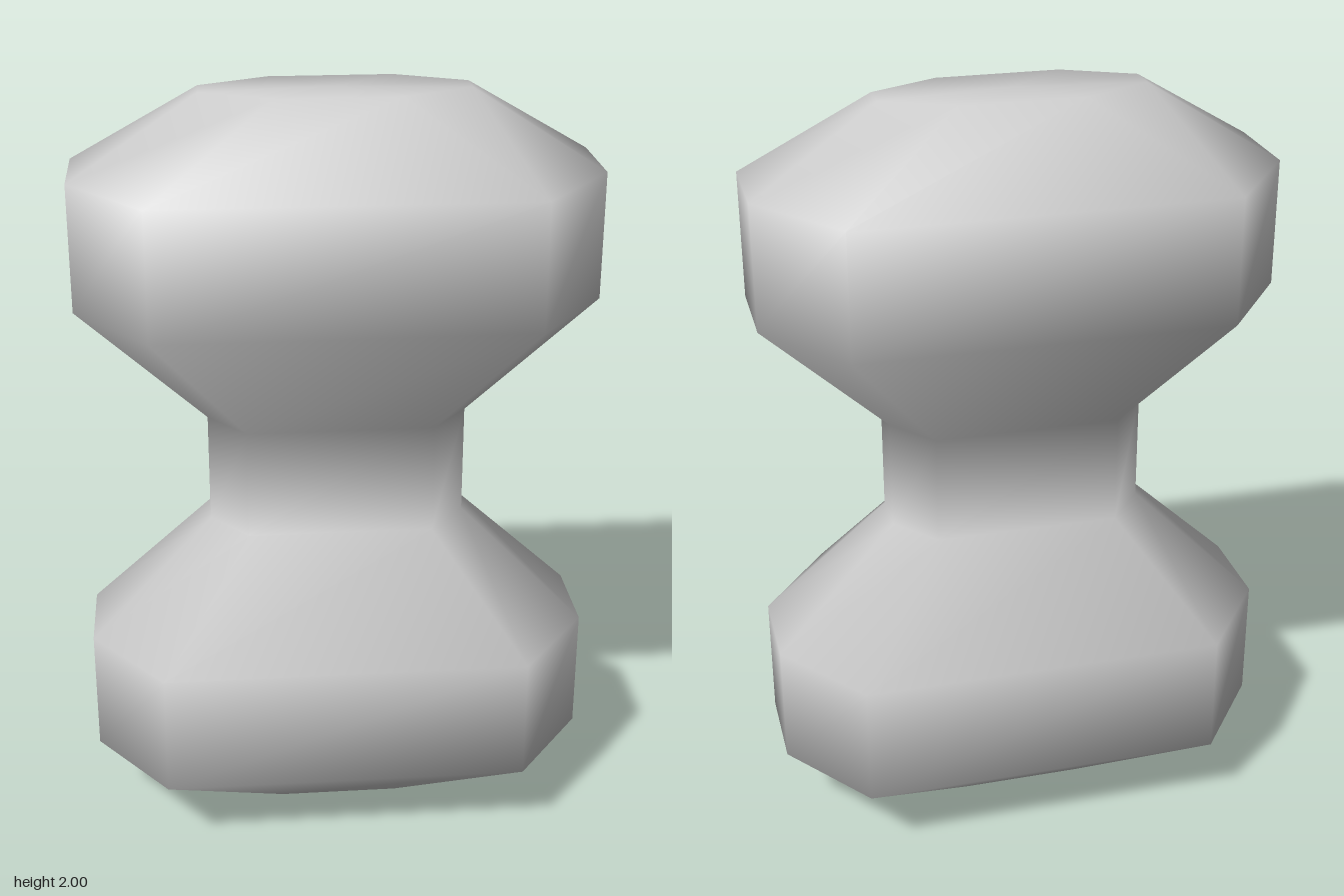
import * as THREE from 'three';

// Octagonal cross-sections, bottom to top:
// [y, half width x, end-face half z, half depth z, side-face half x]
const foot = [0.34, 0.04, 0.13, 0.16];
const bulge = [0.67, 0.125, 0.375, 0.48];
const neck = [0.34, 0.06, 0.18, 0.243];
const SECTIONS = [
  [0, ...foot],
  [0.205, ...bulge],
  [0.535, ...bulge],
  [0.855, ...neck],
  [1.148, ...neck],
  [1.47, ...bulge],
  [1.8, ...bulge],
  [2, ...foot],
];
const SIDES = 8;

// One octagon ring, running from +x towards +z
function ring([y, hx, ez, hz, sx]) {
  return [
    [hx, ez], [sx, hz], [-sx, hz], [-hx, ez],
    [-hx, -ez], [-sx, -hz], [sx, -hz], [hx, -ez],
  ].flatMap(([x, z]) => [x, y, z]);
}

// Closed loft through the rings with shared vertices for smooth normals
function loft(sections) {
  const positions = sections.flatMap(ring);
  const last = (sections.length - 1) * SIDES;
  const bottom = sections.length * SIDES;
  const top = bottom + 1;
  positions.push(0, sections[0][0], 0, 0, sections.at(-1)[0], 0);

  const index = [];
  for (let i = 0; i < SIDES; i++) {
    const j = (i + 1) % SIDES;
    for (let r = 0; r < last; r += SIDES) {
      const a = r + i, b = r + j, c = a + SIDES, d = b + SIDES;
      index.push(a, c, b, b, c, d);
    }
    index.push(bottom, i, j, top, last + j, last + i);
  }

  const geometry = new THREE.BufferGeometry();
  geometry.setAttribute('position', new THREE.Float32BufferAttribute(positions, 3));
  geometry.setIndex(index);
  geometry.computeVertexNormals();
  return geometry;
}

export function createModel() {
  const group = new THREE.Group();
  group.name = 'dumbbellShape';

  // Two bulging ends joined by a narrow neck
  const body = new THREE.Mesh(
    loft(SECTIONS),
    new THREE.MeshStandardMaterial({ color: 0xcccccc }),
  );
  body.name = 'body';
  group.add(body);
  return group;
}
